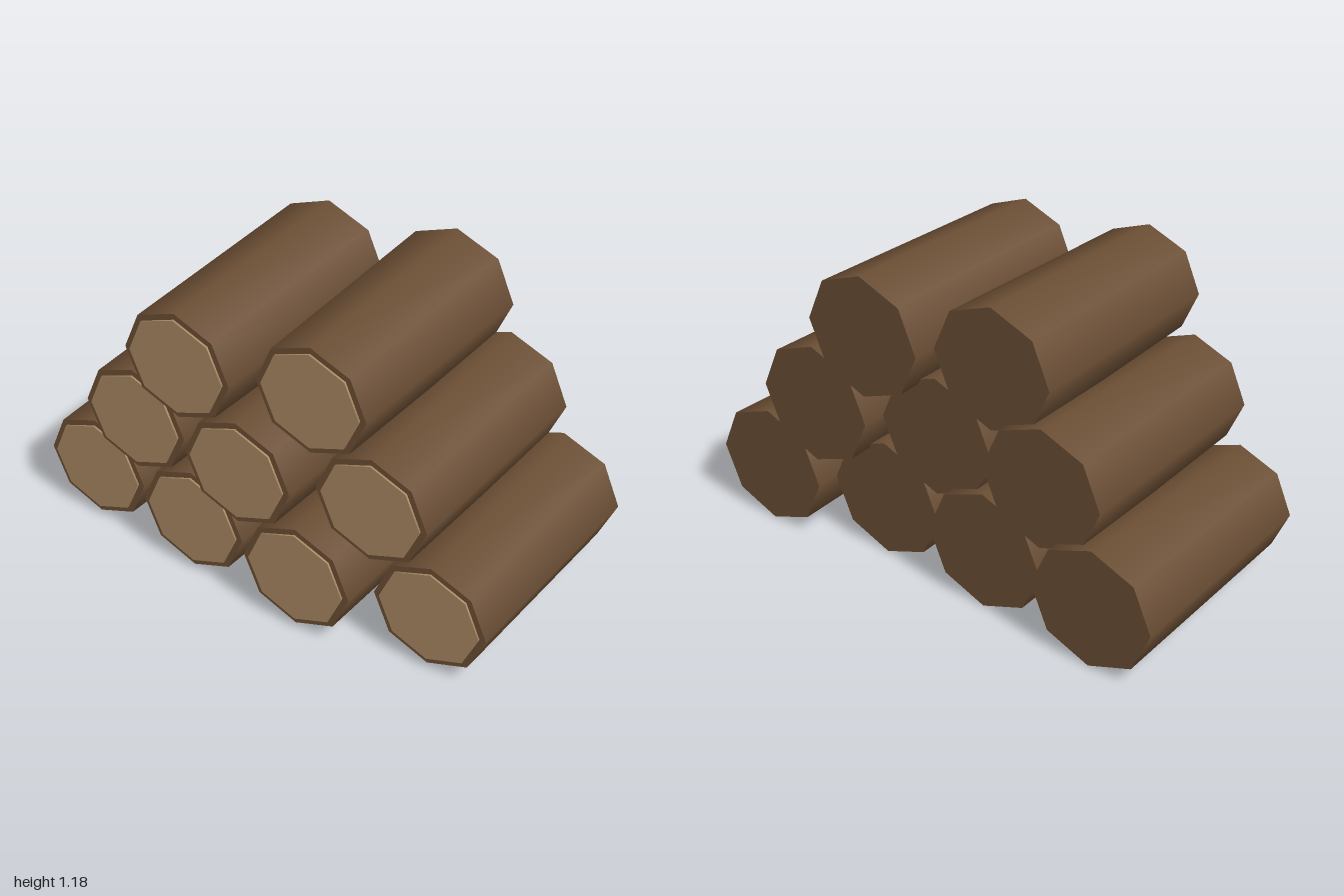
import * as THREE from 'three';

const ROW_STEP = 0.353;   // height between rows
const SPACING = 0.5;      // distance between logs in a row
const SQUASH = 0.94;      // logs are slightly flattened
const LENGTH = 0.923;

// Eight-sided cylinder lying along z, front end at +z
function lyingCylinder(frontRadius, backRadius, length) {
  const geometry = new THREE.CylinderGeometry(frontRadius, backRadius, length, 8);
  geometry.rotateX(Math.PI / 2);
  geometry.scale(1, SQUASH, 1);
  return geometry;
}

export function createModel() {
  const bark = new THREE.MeshStandardMaterial({ color: 0x6b4e34 });
  bark.name = 'bark';
  const cutWood = new THREE.MeshStandardMaterial({ color: 0xa88863 });
  cutWood.name = 'cutWood';

  const trunkGeometry = lyingCylinder(0.228, 0.25, LENGTH);
  const cutGeometry = lyingCylinder(0.203, 0.203, 0.016);

  const pile = new THREE.Group();
  pile.name = 'logPile';

  // Rows of four, three and two logs, staggered in depth
  for (let row = 0; row < 3; row++) {
    const count = 4 - row;
    for (let col = 0; col < count; col++) {
      const log = new THREE.Group();
      log.name = 'log';

      const trunk = new THREE.Mesh(trunkGeometry, bark);
      trunk.name = 'trunk';

      // Pale cut face, just proud of the front end
      const cutFace = new THREE.Mesh(cutGeometry, cutWood);
      cutFace.name = 'cutFace';
      cutFace.position.z = LENGTH / 2;

      log.add(trunk, cutFace);
      log.position.set(
        (col - (count - 1) / 2) * SPACING,
        0.25 * SQUASH + row * ROW_STEP,
        -0.513 + LENGTH / 2 + ((row + col) % 3) * 0.0475
      );
      pile.add(log);
    }
  }
  return pile;
}
